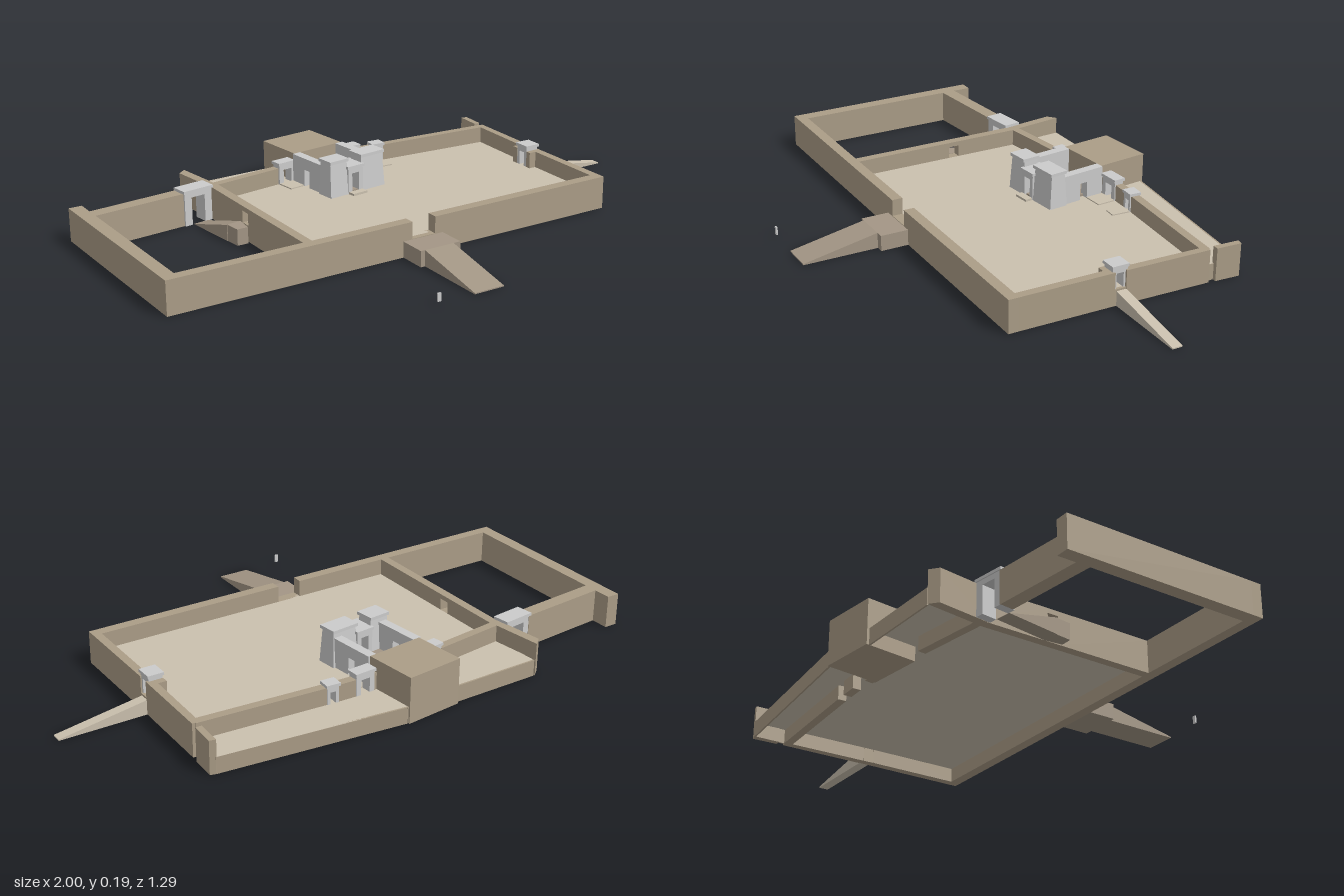
import * as THREE from 'three';

const material = (color) => new THREE.MeshStandardMaterial({ color, flatShading: true, side: THREE.DoubleSide });
const brick = material(0xab9d87), paving = material(0xcac0ae), earth = material(0xa39685), stone = material(0xcccccc);
const FLOOR = 0.058, WALL = 0.117;

function add(parent, name, geometry, mat) {
  const mesh = new THREE.Mesh(geometry, mat);
  mesh.name = name;
  parent.add(mesh);
  return mesh;
}

// Box given by its limits
function block(parent, name, mat, x0, x1, y0, y1, z0, z1) {
  const mesh = add(parent, name, new THREE.BoxGeometry(x1 - x0, y1 - y0, z1 - z0), mat);
  mesh.position.set((x0 + x1) / 2, (y0 + y1) / 2, (z0 + z1) / 2);
  return mesh;
}

// Upright prism over a ground plan of [x, z] points
function prism(parent, name, mat, plan, y0, y1) {
  const shape = new THREE.Shape(plan.map(([x, z]) => new THREE.Vector2(x, -z)));
  const geometry = new THREE.ExtrudeGeometry(shape, { depth: y1 - y0, bevelEnabled: false });
  geometry.rotateX(-Math.PI / 2).translate(0, y0, 0);
  return add(parent, name, geometry, mat);
}

// Straight wall between two ground points
function wall(parent, name, x0, z0, x1, z1, thick = 0.035, y1 = WALL, y0 = 0) {
  const length = Math.hypot(x1 - x0, z1 - z0);
  const mesh = add(parent, name, new THREE.BoxGeometry(length, y1 - y0, thick), brick);
  mesh.position.set((x0 + x1) / 2, (y0 + y1) / 2, (z0 + z1) / 2);
  mesh.rotation.y = -Math.atan2(z1 - z0, x1 - x0);
  return mesh;
}

// Wedge that starts high at (x, z) and falls along its local +z
function ramp(parent, name, mat, x, z, width, length, height, turn) {
  const geometry = new THREE.BoxGeometry(width, height, length).translate(0, height / 2, length / 2);
  const p = geometry.attributes.position;
  for (let i = 0; i < p.count; i++) {
    if (p.getY(i) > 0 && p.getZ(i) > length / 2) p.setY(i, 0.004);
  }
  const mesh = add(parent, name, geometry, mat);
  mesh.position.set(x, 0, z);
  mesh.rotation.y = turn;
}

// Stone doorway: two jambs, lintel and projecting cornice
function gate(parent, name, x, z, turn, width, depth, top, y0 = FLOOR) {
  const g = new THREE.Group();
  g.name = name;
  g.position.set(x, 0, z);
  g.rotation.y = turn;
  const w = width / 2, d = depth / 2, jamb = width * 0.26;
  block(g, 'jamb', stone, -w, -w + jamb, y0, top - 0.01, -d, d);
  block(g, 'jamb', stone, w - jamb, w, y0, top - 0.01, -d, d);
  block(g, 'lintel', stone, -w + jamb, w - jamb, top - 0.028, top - 0.01, -d, d);
  block(g, 'cornice', stone, -w - 0.004, w + 0.004, top - 0.01, top, -d - 0.004, d + 0.004);
  parent.add(g);
  return g;
}

// Battered gate tower with a cornice
function tower(parent, x0, x1) {
  const w = x1 - x0, h = 0.121;
  const geometry = new THREE.BoxGeometry(w, h, 0.072);
  const p = geometry.attributes.position;
  for (let i = 0; i < p.count; i++) {
    if (p.getY(i) > 0) p.setXYZ(i, p.getX(i) * 0.9, p.getY(i), p.getZ(i) * 0.76);
  }
  add(parent, 'tower', geometry, stone).position.set((x0 + x1) / 2, FLOOR + h / 2, 0);
  block(parent, 'towerCornice', stone, x0, x1, 0.179, 0.19, -0.034, 0.034);
}

export function createModel() {
  const model = new THREE.Group();
  model.name = 'templeEnclosure';

  // Raised court and rear terrace
  prism(model, 'courtFloor', paving,
    [[-0.49, 0.25], [0.675, 0.25], [0.69, -0.45], [0.69, -0.58], [0.04, -0.64], [-0.17, -0.615], [-0.5, -0.608], [-0.49, -0.42]],
    FLOOR - 0.006, FLOOR);
  const terrace = [[-0.5, -0.606], [-0.17, -0.612], [0.04, -0.639], [0.69, -0.577]];
  for (let i = 0; i < 3; i++) wall(model, 'terraceFace', ...terrace[i], ...terrace[i + 1], 0.006, FLOOR);
  wall(model, 'terraceFace', 0.688, -0.58, 0.688, -0.45, 0.006, FLOOR);
  prism(model, 'terraceLeftWall', brick, [[-0.535, -0.585], [-0.505, -0.61], [-0.48, -0.42], [-0.51, -0.4]], 0, WALL);
  prism(model, 'terraceRightWall', brick, [[0.683, -0.485], [0.705, -0.485], [0.71, -0.575], [0.688, -0.58]], 0, WALL);

  // Front wall with its entrance gap
  block(model, 'frontWall', brick, -1, -0.12, 0, WALL, 0.232, 0.27);
  block(model, 'frontWall', brick, -0.03, 0.69, 0, WALL, 0.232, 0.27);
  block(model, 'entranceSill', brick, -0.12, -0.03, 0, FLOOR, 0.232, 0.27);
  block(model, 'entranceLanding', earth, -0.155, 0, 0, FLOOR - 0.002, 0.27, 0.37);
  ramp(model, 'entranceRamp', earth, -0.083, 0.37, 0.112, 0.27, FLOOR - 0.002, 0);

  // Dividing wall with a small door
  block(model, 'dividingWall', brick, -0.508, -0.476, 0, WALL, -0.13, 0.232);
  block(model, 'dividingWall', brick, -0.508, -0.476, 0, WALL, -0.42, -0.17);
  block(model, 'doorSill', brick, -0.508, -0.476, 0, FLOOR, -0.17, -0.13);
  block(model, 'doorLintel', brick, -0.508, -0.476, 0.1, WALL, -0.17, -0.13);

  // Side yard
  block(model, 'yardSideWall', brick, -1, -0.953, 0, WALL, -0.465, 0.232);
  wall(model, 'yardBackWall', -0.958, -0.374, -0.62, -0.407, 0.05);
  gate(model, 'yardGate', -0.568, -0.41, 0.13, 0.11, 0.055, 0.127, 0);
  prism(model, 'yardLanding', earth, [[-0.562, -0.18], [-0.508, -0.185], [-0.515, -0.12], [-0.555, -0.12]], 0, FLOOR);
  ramp(model, 'yardRamp', earth, -0.536, -0.18, 0.056, 0.2, FLOOR, Math.PI + 0.13);

  // Right wall, its gate and ramp
  prism(model, 'rightWall', brick, [[0.66, 0.232], [0.69, 0.232], [0.693, -0.108], [0.664, -0.108]], 0, WALL);
  prism(model, 'rightWall', brick, [[0.666, -0.148], [0.695, -0.148], [0.702, -0.46], [0.676, -0.46]], 0, WALL);
  block(model, 'rightSill', brick, 0.665, 0.693, 0, FLOOR, -0.148, -0.108);
  for (const [z0, z1] of [[-0.18, -0.155], [-0.1, -0.08]]) block(model, 'gateButtress', brick, 0.637, 0.675, FLOOR, WALL, z0, z1);
  gate(model, 'rightGate', 0.663, -0.128, Math.PI / 2, 0.054, 0.05, 0.138);
  ramp(model, 'rightRamp', paving, 0.69, -0.132, 0.036, 0.31, 0.052, Math.PI / 2);

  // Back wall of the court and its doorways
  const runs = [
    [-0.49, -0.415, -0.22, -0.451], [-0.15, -0.456, -0.13, -0.458], [0.05, -0.475, 0.065, -0.477],
    [0.135, -0.482, 0.2, -0.48], [0.24, -0.478, 0.69, -0.449],
  ];
  for (const r of runs) wall(model, 'backWall', ...r, 0.03);
  const doors = [[-0.185, -0.452, 0.13, 0.072, 0.138], [0.1, -0.478, 0.07, 0.072, 0.138], [0.22, -0.478, -0.06, 0.042, 0.127]];
  for (const [x, z, turn, width, top] of doors) {
    const door = gate(model, 'backDoor', x, z, turn, width, 0.036, top);
    block(door, 'doorStep', paving, -width / 2, width / 2, FLOOR, FLOOR + 0.004, 0.018, 0.085);
  }

  // Temple: solid rear block, walled forecourt and twin-towered front
  const temple = new THREE.Group();
  temple.name = 'temple';
  temple.position.set(-0.027, 0, -0.25);
  temple.rotation.y = 0.11;
  block(temple, 'sanctuary', brick, -0.105, 0.105, 0, 0.162, -0.388, -0.197);
  block(temple, 'forecourtFloor', earth, -0.09, 0.09, FLOOR - 0.004, FLOOR + 0.008, -0.197, 0.03);
  for (const s of [-1, 1]) {
    const [a, b] = s < 0 ? [-0.112, -0.08] : [0.08, 0.112];
    // Side wall pierced by a doorway
    block(temple, 'forecourtWall', stone, a, b, FLOOR, 0.162, -0.197, -0.13);
    block(temple, 'forecourtWall', stone, a, b, FLOOR, 0.162, -0.1, -0.02);
    block(temple, 'forecourtLintel', stone, a, b, 0.12, 0.162, -0.13, -0.1);
  }
  tower(temple, -0.12, -0.04);
  tower(temple, 0.015, 0.12);
  const portal = gate(temple, 'portal', -0.0125, 0, 0, 0.064, 0.076, 0.16);
  block(portal, 'portalStep', paving, -0.03, 0.03, FLOOR, FLOOR + 0.008, 0.038, 0.065);
  model.add(temple);

  // Small standing stone beside the entrance ramp
  block(model, 'standingStone', stone, -0.277, -0.265, 0.008, 0.036, 0.634, 0.64);

  return model;
}
